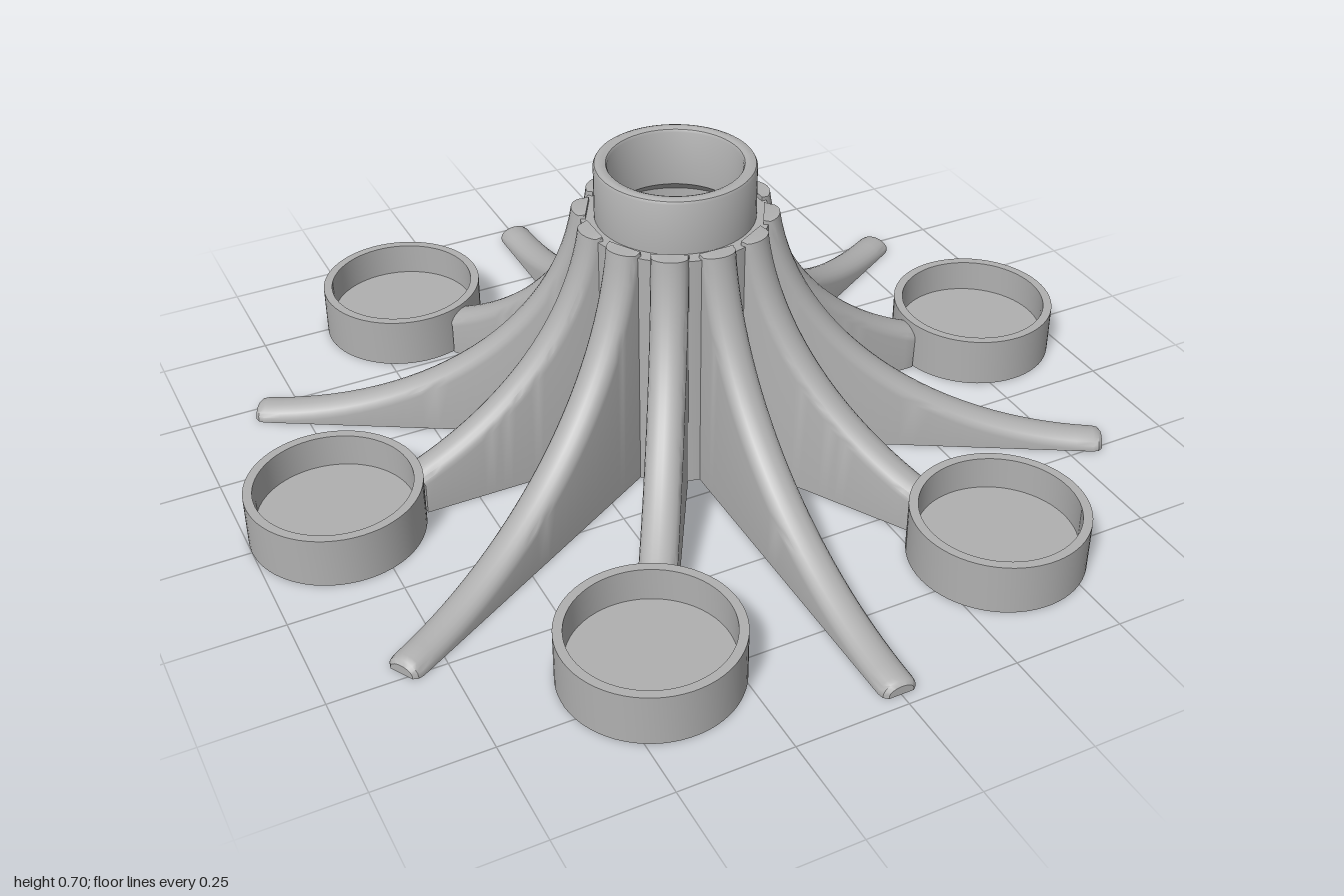
import * as THREE from 'three';
import { toCreasedNormals } from 'three/addons/utils/BufferGeometryUtils.js';

const HALF = 0.04;      // half width of a fin
const CAP = 0.03;       // depth of its rounded top edge
const SHOULDER = 0.58;  // height where the fins stop
const ARC = 10;

const lathe = (pts) => toCreasedNormals(
  new THREE.LatheGeometry(pts.map(([r, y]) => new THREE.Vector2(r, y)), 64), 0.6);

// One cross-section: up one side, over the rounded top, down the other side
function section(r, y, nx, ny, half, cap) {
  const ring = [];
  for (let k = 0; k <= ARC; k++) {
    const t = (k / ARC) * Math.PI;
    const d = cap * (1 - Math.sin(t));
    ring.push([r - nx * d, Math.max(y - ny * d, 0.003), half * Math.cos(t)]);
  }
  const foot = r - nx * cap;
  return [[foot, 0, half], ...ring, [foot, 0, -half]];
}

// Fin running along +x, its top edge sweeping down an elliptical curve
function finGeometry(endR, roundTip) {
  const cx = 0.976, cy = 0.66, a = 0.757, b = 0.628;
  const t0 = Math.asin((cy - SHOULDER) / b);
  const t1 = Math.acos((cx - endR) / a);
  const rings = [section(0.19, SHOULDER, 0, 1, HALF, 0)];
  const steps = 28;
  for (let i = 0; i <= steps; i++) {
    const t = t0 + (t1 - t0) * (i / steps);
    const n = new THREE.Vector2(Math.cos(t) / a, Math.sin(t) / b).normalize();
    rings.push(section(cx - a * Math.cos(t), cy - b * Math.sin(t), n.x, n.y, HALF, CAP));
  }
  if (roundTip) {
    rings.push(section(endR + 0.012, 0.029, 0, 1, 0.037, 0.024));
    rings.push(section(endR + 0.02, 0.021, 0, 1, 0.028, 0.016));
  }
  const m = rings[0].length, index = [];
  for (let i = 0; i < rings.length - 1; i++) {
    for (let j = 0; j < m; j++) {
      const j2 = (j + 1) % m;
      const p = i * m + j, q = i * m + j2;
      index.push(p, p + m, q + m, p, q + m, q);
    }
  }
  const last = (rings.length - 1) * m;
  for (let j = 1; j < m - 1; j++) {
    index.push(0, j, j + 1, last, last + j + 1, last + j);
  }
  const g = new THREE.BufferGeometry();
  g.setAttribute('position', new THREE.Float32BufferAttribute(rings.flat(2), 3));
  g.setIndex(index);
  return toCreasedNormals(g, 0.6);
}

export function createModel() {
  const grey = new THREE.MeshStandardMaterial({ color: 0xb0b0b0 });
  grey.name = 'plain grey';
  const model = new THREE.Group();
  model.name = 'radialStand';
  const add = (parent, geometry, name) => {
    const mesh = new THREE.Mesh(geometry, grey);
    mesh.name = name;
    parent.add(mesh);
    return mesh;
  };

  // Hollow centre tube with a narrower neck
  add(model, lathe([
    [0.18, 0], [0.205, 0], [0.205, 0.57], [0.175, 0.57], [0.175, 0.688], [0.172, 0.694], [0.165, 0.697],
    [0.155, 0.697], [0.148, 0.694], [0.145, 0.688], [0.145, 0.56], [0.18, 0.53], [0.18, 0],
  ]), 'centreTube');

  const longFin = finGeometry(0.952, true);
  const shortFin = finGeometry(0.632, false);
  const cup = lathe([
    [0, 0], [0.19, 0], [0.19, 0.117], [0.17, 0.117], [0.17, 0.04], [0, 0.04],
  ]);

  // Twelve fins, every second one carrying a round cup
  for (let i = 0; i < 12; i++) {
    const arm = new THREE.Group();
    arm.rotation.y = (i * Math.PI) / 6;
    model.add(arm);
    if (i % 2 === 0) {
      arm.name = 'cupArm';
      add(arm, shortFin, 'shortFin');
      add(arm, cup, 'cup').position.x = 0.81;
    } else {
      arm.name = 'footArm';
      add(arm, longFin, 'longFin');
    }
  }
  return model;
}
